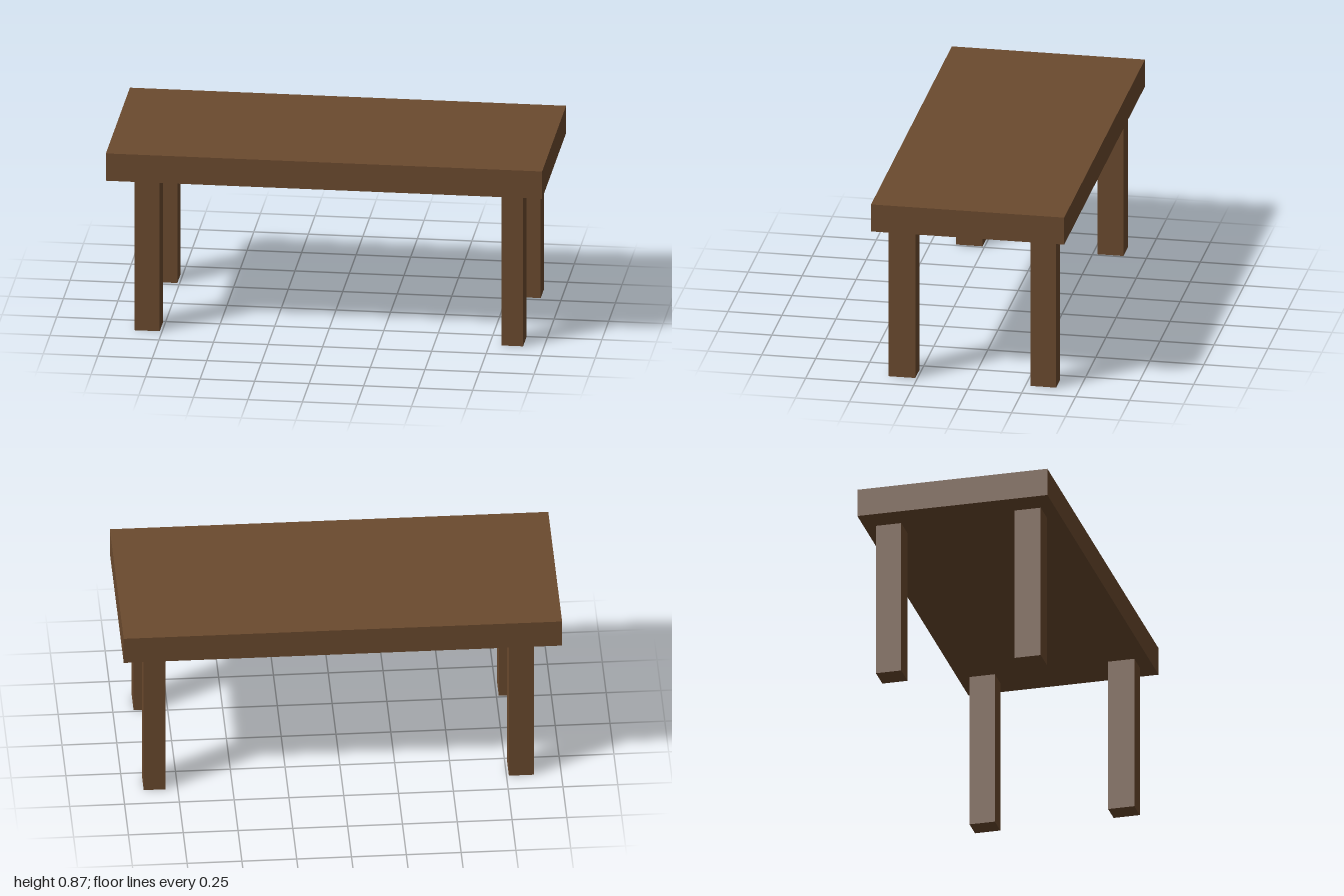
import * as THREE from 'three';

export function createModel() {
  const table = new THREE.Group();
  table.name = 'table';
  const wood = new THREE.MeshStandardMaterial({ color: 0x6b4a2e, flatShading: true });

  // Box spanning the given [min, max] ranges
  function addBox(name, [x0, x1], [y0, y1], [z0, z1]) {
    const mesh = new THREE.Mesh(new THREE.BoxGeometry(x1 - x0, y1 - y0, z1 - z0), wood);
    mesh.name = name;
    mesh.position.set((x0 + x1) / 2, (y0 + y1) / 2, (z0 + z1) / 2);
    table.add(mesh);
  }

  const underside = 0.74;

  // Thick slab top
  addBox('tableTop', [-1, 1], [underside, 0.872], [-0.447, 0.447]);

  // Four square-cut legs, slightly uneven in section and inset
  const sides = { Left: [0.806, 0.905], Right: [-0.876, -0.761] };
  const rows = { front: [0.26, 0.383], back: [-0.392, -0.273] };
  for (const [row, z] of Object.entries(rows)) {
    for (const [side, x] of Object.entries(sides)) {
      addBox(`${row}${side}Leg`, x, [0, underside], z);
    }
  }

  return table;
}
